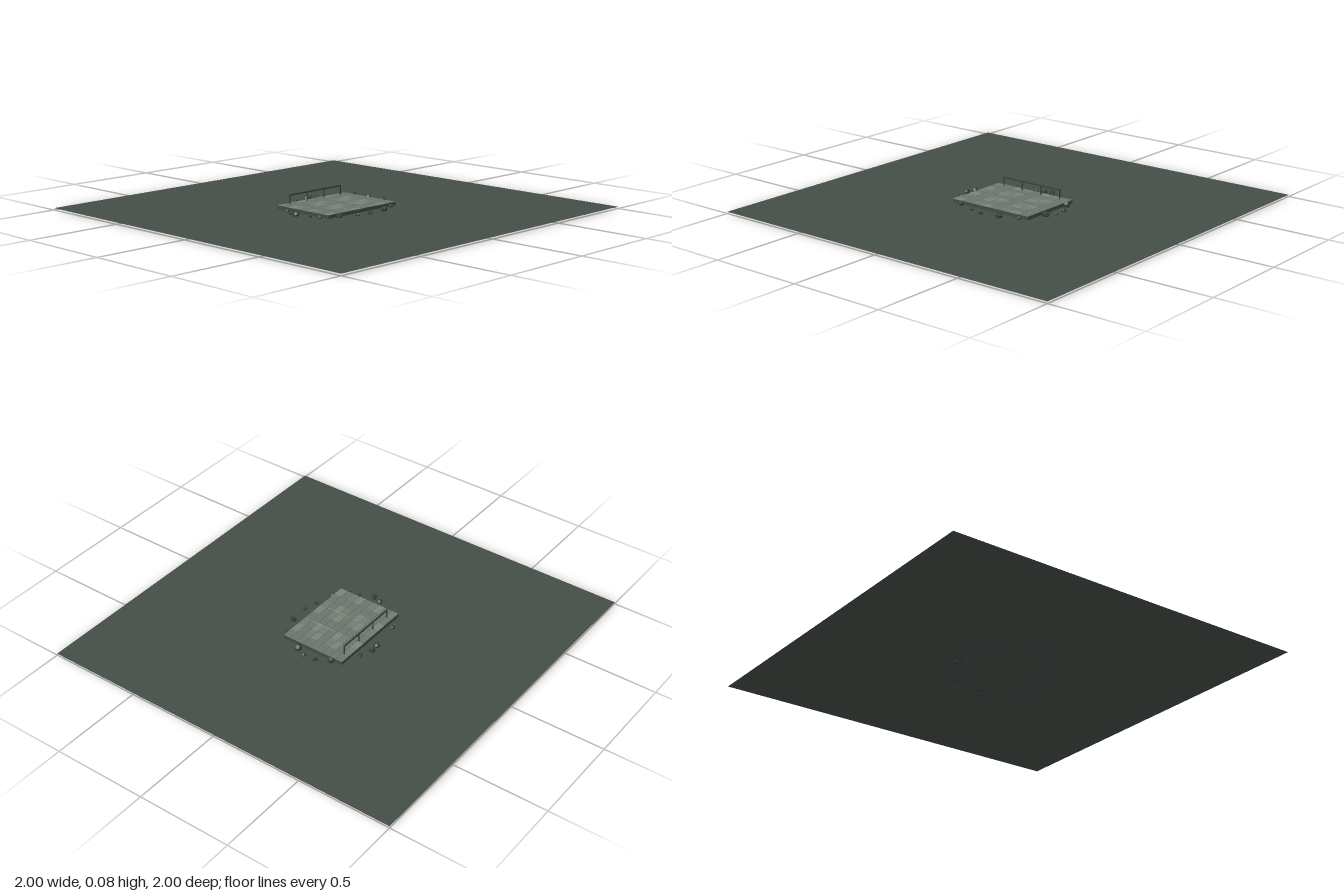
import * as THREE from 'three';

const mat = (color, extra = {}) => new THREE.MeshStandardMaterial({ color, ...extra });

export function createModel() {
  const model = new THREE.Group();
  const add = (name, geometry, material, x, y, z, parent = model) => {
    const mesh = new THREE.Mesh(geometry, material);
    mesh.name = name;
    mesh.position.set(x, y, z);
    parent.add(mesh);
    return mesh;
  };
  const group = (name) => {
    const g = new THREE.Group();
    g.name = name;
    model.add(g);
    return g;
  };

  // Thin ground sheet
  const groundY = 0.015;
  add('ground', new THREE.PlaneGeometry(2, 2).rotateX(-Math.PI / 2),
    mat(0x454d47, { side: THREE.DoubleSide }), 0, groundY, 0);

  // Raised slab paved with tiles
  add('platform', new THREE.BoxGeometry(0.48, 0.017, 0.36), mat(0x3f4a45), 0, 0.0255, 0);
  const paving = group('paving');
  const tones = [0x6f7b71, 0x78847a, 0x69756c].map((c) => mat(c));
  const tile = new THREE.BoxGeometry(0.0585, 0.003, 0.0385);
  for (let row = 0; row < 9; row++) {
    for (let col = 0; col < 8; col++) {
      const tone = tones[(row * 2 + col * 5 + row * col) % 3];
      add('tile', tile, tone, -0.21 + col * 0.06, 0.0345, -0.16 + row * 0.04, paving);
    }
  }

  // Two pale floor stripes
  for (const side of [-1, 1]) {
    add('floorStripe', new THREE.BoxGeometry(0.004, 0.001, 0.13), mat(0x8d9676),
      side * 0.067, 0.0364, 0.065);
  }

  // Back railing
  const railing = group('railing');
  const metal = mat(0x36433f);
  add('handrail', new THREE.BoxGeometry(0.364, 0.007, 0.007), metal, 0, 0.083, -0.15, railing);
  for (const x of [-0.18, -0.06, 0.06, 0.18]) {
    add('railPost', new THREE.BoxGeometry(0.005, 0.048, 0.005), metal, x, 0.058, -0.15, railing);
  }

  // Loose stones around the slab: x, z, radius
  const stones = [
    [-0.15, -0.21, 0.013], [-0.045, -0.24, 0.01], [0.02, -0.23, 0.018], [0.065, -0.235, 0.018],
    [0.13, -0.21, 0.013], [-0.185, -0.165, 0.013], [0.25, -0.12, 0.02], [0.285, -0.05, 0.013],
    [0.29, 0.015, 0.011], [0.265, 0.07, 0.02], [0.195, 0.19, 0.012], [0.1, 0.23, 0.018],
    [-0.01, 0.24, 0.014], [-0.08, 0.22, 0.011], [-0.175, 0.19, 0.017], [-0.25, 0.13, 0.012],
    [-0.27, 0.085, 0.01], [-0.295, 0.01, 0.017], [-0.28, -0.035, 0.016], [-0.245, -0.1, 0.01],
  ];
  const rubble = group('rubble');
  const stoneMat = mat(0x35403c, { flatShading: true });
  const stone = new THREE.DodecahedronGeometry(1, 0);
  stones.forEach(([x, z, r], i) => {
    const mesh = add('stone', stone, stoneMat, x, 0.013 + r * 0.6, z, rubble);
    mesh.scale.set(r, r * 0.85, r * (0.9 + 0.2 * (i % 2)));
    mesh.rotation.set(i * 0.7, i * 1.9, i * 0.4);
  });

  return model;
}
